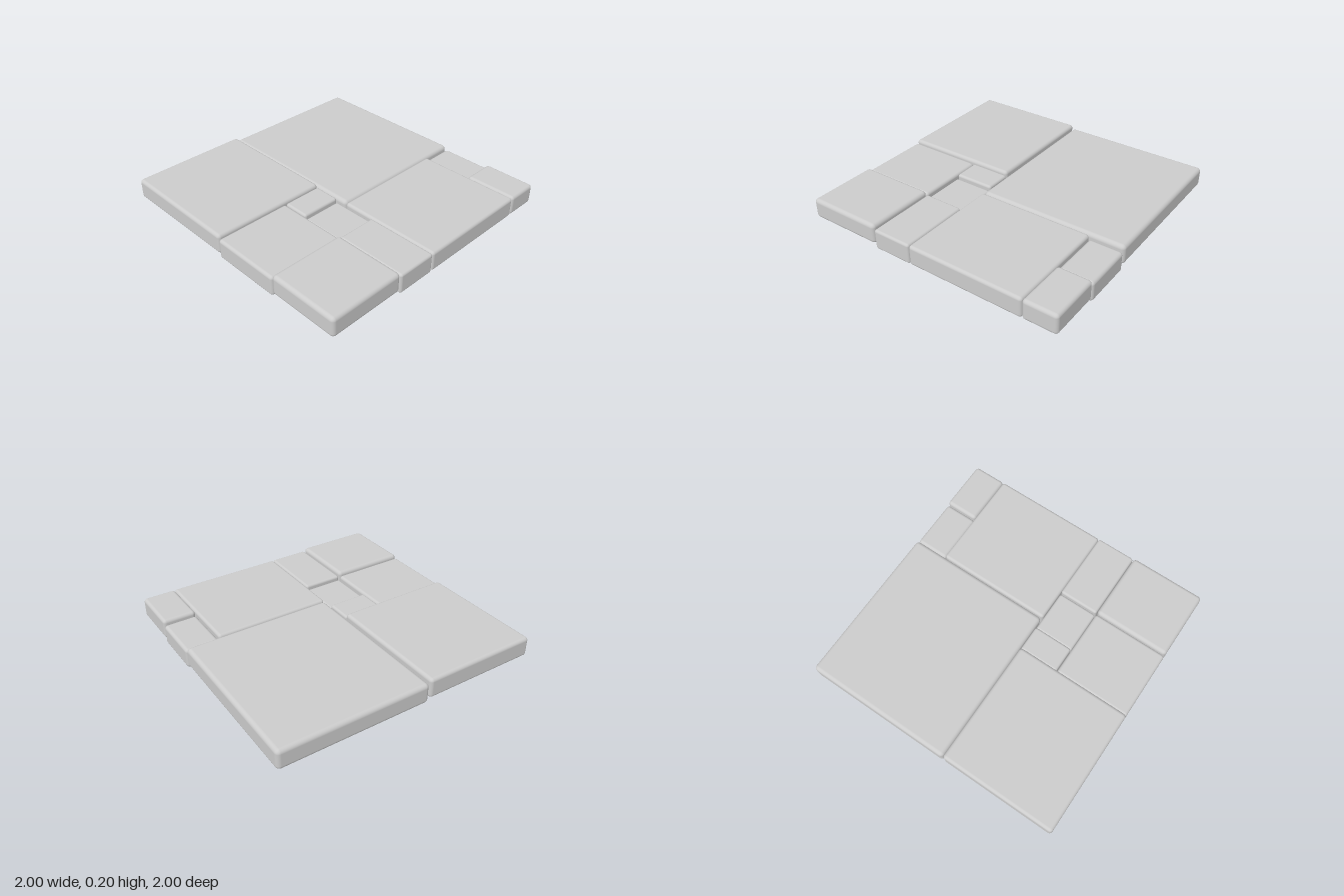
import * as THREE from 'three';
import { RoundedBoxGeometry } from 'three/addons/geometries/RoundedBoxGeometry.js';

// Tile layout: name, x from/to, z from/to, underside height, edge radius
const THICKNESS = 0.15;
const LOW = 0.008, MID = 0.038, HIGH = 0.063;
const TILES = [
  ['backLeftLargeTile', -1, 0.22, -1, 0.12, MID, 0.03],
  ['backInnerTile', 0.225, 0.61, -1, -0.75, LOW, 0.025],
  ['backCornerTile', 0.61, 1, -1, -0.75, MID, 0.025],
  ['sideTile', 0.225, 1, -0.75, 0.125, MID, 0.022],
  ['frontLargeTile', -1, -0.055, 0.125, 1, HIGH, 0.025],
  ['smallCentreTile', -0.06, 0.14, 0.125, 0.425, MID, 0.018],
  ['centreTile', 0.14, 0.47, 0.125, 0.425, LOW, 0.018],
  ['sideStripTile', 0.47, 1, 0.125, 0.425, MID, 0.018],
  ['frontMiddleTile', -0.06, 0.47, 0.43, 1, MID, 0.022],
  ['frontCornerTile', 0.47, 1, 0.43, 1, HIGH, 0.028],
];

export function createModel() {
  const group = new THREE.Group();
  group.name = 'tilePanel';
  const material = new THREE.MeshStandardMaterial({ color: 0xcccccc });

  // Rounded slabs at three stepped heights
  for (const [name, x0, x1, z0, z1, bottom, radius] of TILES) {
    const tile = new THREE.Mesh(
      new RoundedBoxGeometry(x1 - x0, THICKNESS, z1 - z0, 4, radius), material);
    tile.position.set((x0 + x1) / 2, bottom + THICKNESS / 2, (z0 + z1) / 2);
    tile.name = name;
    group.add(tile);
  }
  return group;
}
